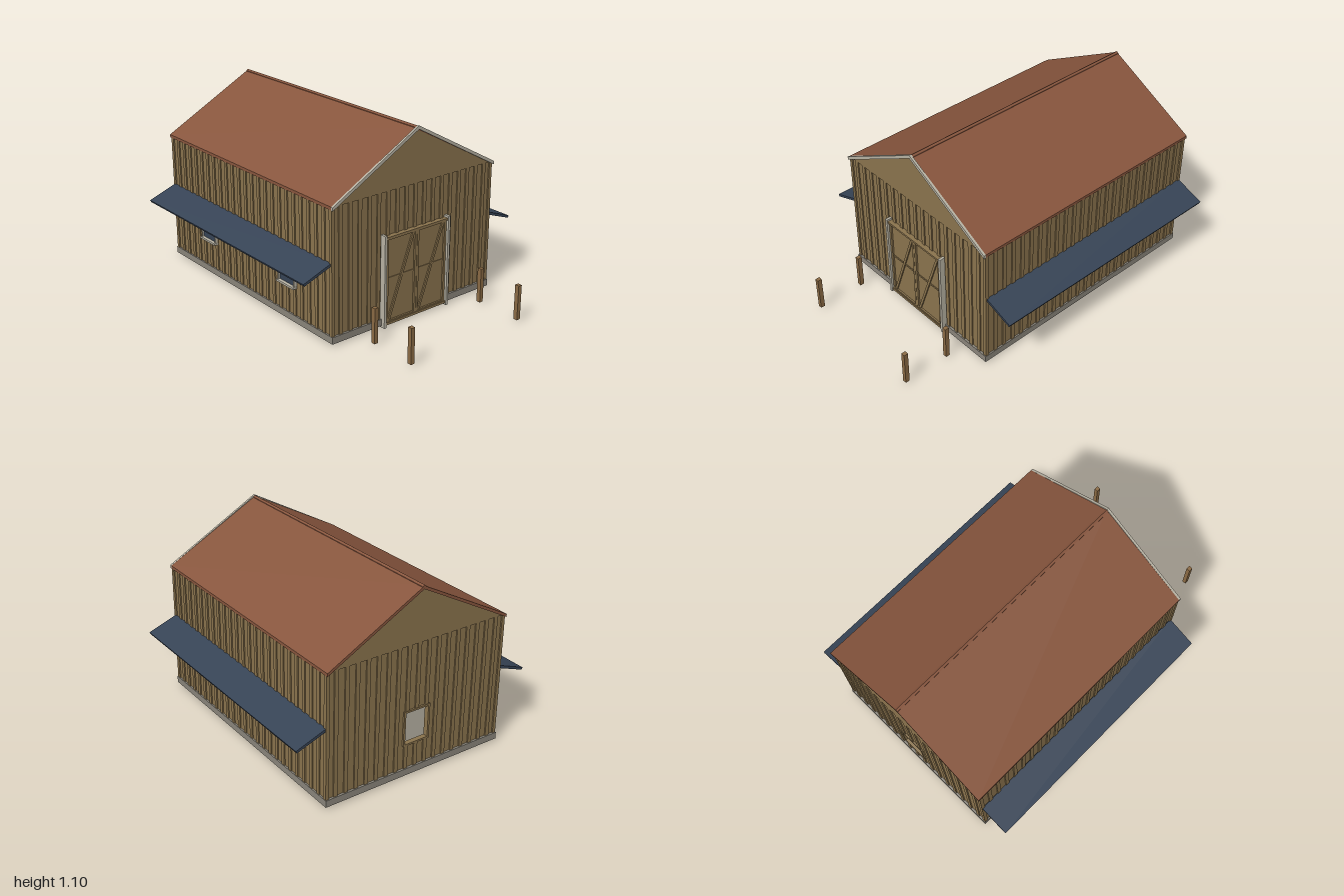
import * as THREE from 'three';

const mat = (name, color) => {
  const m = new THREE.MeshStandardMaterial({ color });
  m.name = name;
  return m;
};

export function createModel() {
  const wood = mat('wall wood', 0x8a734d);
  const postWood = mat('post wood', 0x8a6a44);
  const roofRed = mat('roof red', 0x87553d);
  const stone = mat('foundation grey', 0x89847a);
  const pale = mat('pale trim', 0xb7b2a3);
  const navy = mat('navy', 0x364355);

  const barn = new THREE.Group();
  barn.name = 'barn';
  const group = (name) => {
    const g = new THREE.Group();
    g.name = name;
    barn.add(g);
    return g;
  };
  // Box given by its limits on each axis
  const box = (parent, name, m, x0, x1, y0, y1, z0, z1) => {
    const mesh = new THREE.Mesh(new THREE.BoxGeometry(x1 - x0, y1 - y0, z1 - z0), m);
    mesh.position.set((x0 + x1) / 2, (y0 + y1) / 2, (z0 + z1) / 2);
    mesh.name = name;
    parent.add(mesh);
    return mesh;
  };
  // Outline in x and y, extruded from z0 to z1
  const slab = (parent, name, m, pts, z0, z1, hole) => {
    const shape = new THREE.Shape(pts.map((p) => new THREE.Vector2(...p)));
    if (hole) shape.holes.push(new THREE.Path(hole.map((p) => new THREE.Vector2(...p))));
    const geo = new THREE.ExtrudeGeometry(shape, { depth: z1 - z0, bevelEnabled: false });
    geo.translate(0, 0, z0);
    const mesh = new THREE.Mesh(geo, m);
    mesh.name = name;
    parent.add(mesh);
    return mesh;
  };

  const W = 0.57, F = 0.567, B = -0.982, EAVE = 0.78;

  // Foundation
  box(barn, 'foundation', stone, -0.58, 0.58, 0.01, 0.05, -0.995, 0.58);

  // Hollow walls, with a window opening at the back
  const walls = group('walls');
  const rect = (x, y0, y1) => [[-x, y0], [x, y0], [x, y1], [-x, y1]];
  slab(walls, 'frontWall', wood, rect(W, 0.05, EAVE), F - 0.02, F);
  slab(walls, 'backWall', wood, rect(W, 0.05, EAVE), B, B + 0.02, rect(0.075, 0.2, 0.39));
  for (const s of [-1, 1]) {
    const x = s * (W - 0.01);
    box(walls, 'sideWall', wood, x - 0.01, x + 0.01, 0.05, EAVE, B + 0.02, F - 0.02);
  }

  // Flat gables, flush with the battens
  const gable = [[-0.575, EAVE], [0.575, EAVE], [0, 1.078]];
  slab(walls, 'frontGable', wood, gable, F - 0.02, F + 0.007);
  slab(walls, 'backGable', wood, gable, B - 0.007, B + 0.02);

  // Battens
  const battens = group('battens');
  const pitch = 0.0645, half = 0.012, proud = 0.007;
  for (let i = -8; i <= 8; i++) {
    const x = i * pitch;
    const y0 = Math.abs(x) < 0.23 ? 0.52 : 0.05;
    box(battens, 'frontBatten', wood, x - half, x + half, y0, EAVE, F, F + proud);
    const spans = Math.abs(x) < 0.09 ? [[0.05, 0.19], [0.4, EAVE]] : [[0.05, EAVE]];
    for (const [a, b] of spans) box(battens, 'backBatten', wood, x - half, x + half, a, b, B - proud, B);
  }
  const sideCount = 24, sidePitch = (F - B) / sideCount;
  for (const s of [-1, 1]) {
    for (let i = 1; i < sideCount; i++) {
      const z = B + i * sidePitch, x = s * (W + proud / 2);
      box(battens, 'sideBatten', wood, x - proud / 2, x + proud / 2, 0.05, EAVE, z - half, z + half);
    }
    // Corner boards
    for (const z of [B + 0.003, F - 0.003]) {
      const x = s * 0.568;
      box(battens, 'cornerBoard', wood, x - 0.01, x + 0.01, 0.05, EAVE, z - 0.011, z + 0.011);
    }
  }

  // Back window surround
  const backWindow = group('backWindow');
  for (const s of [-1, 1]) {
    box(backWindow, 'jamb', wood, s * 0.08 - 0.006, s * 0.08 + 0.006, 0.19, 0.4, B - 0.01, B);
  }
  box(backWindow, 'lintel', wood, -0.074, 0.074, 0.389, 0.4, B - 0.01, B);
  box(backWindow, 'sill', wood, -0.074, 0.074, 0.19, 0.201, B - 0.01, B);

  // Roof, ridge cap and front barge boards
  const chevron = (x, eave, top, t) =>
    [[-x, eave], [-x, eave - t], [0, top - t], [x, eave - t], [x, eave], [0, top]];
  const roof = group('roof');
  slab(roof, 'roofSlopes', roofRed, chevron(0.58, 0.785, 1.096, 0.018), -1, 0.574);
  slab(roof, 'ridgeCap', roofRed, chevron(0.012, 1.093, 1.101, 0.008), -1, 0.574);
  slab(roof, 'bargeBoards', pale, chevron(0.58, 0.785, 1.104, 0.02), 0.574, 0.588);

  // Side awnings
  for (const s of [-1, 1]) {
    const pts = [[0.568, 0.456], [0.747, 0.391], [0.753, 0.404], [0.573, 0.471]].map(([x, y]) => [s * x, y]);
    slab(barn, 'awning', navy, pts, -0.985, 0.565);
  }

  // Side windows
  for (const s of [-1, 1]) {
    for (const zc of [0.185, -0.595]) {
      const win = group('sideWindow');
      const part = (name, m, x0, x1, y0, y1, z0, z1) =>
        box(win, name, m, Math.min(s * x0, s * x1), Math.max(s * x0, s * x1), y0, y1, zc + z0, zc + z1);
      part('glass', navy, 0.572, 0.58, 0.228, 0.437, -0.066, 0.066);
      part('jamb', pale, 0.57, 0.591, 0.228, 0.437, -0.075, -0.066);
      part('jamb', pale, 0.57, 0.591, 0.228, 0.437, 0.066, 0.075);
      part('lintel', pale, 0.57, 0.591, 0.437, 0.447, -0.075, 0.075);
      part('sill', pale, 0.57, 0.6, 0.216, 0.228, -0.077, 0.077);
    }
  }

  // Double front door with cross braces
  const door = group('frontDoor');
  for (const x0 of [-0.218, 0.001]) {
    const x1 = x0 + 0.217;
    box(door, 'doorPanel', wood, x0, x1, 0.02, 0.525, F, 0.582);
    for (const x of [x0, x1 - 0.014]) box(door, 'stile', wood, x, x + 0.014, 0.02, 0.525, 0.582, 0.592);
    for (const y of [0.02, 0.511]) box(door, 'rail', wood, x0 + 0.014, x1 - 0.014, y, y + 0.014, 0.582, 0.592);
    box(door, 'middleRail', wood, x0 + 0.014, x1 - 0.014, 0.278, 0.288, 0.582, 0.586);
    const a = x0 + 0.014, b = x1 - 0.014;
    slab(door, 'brace', wood, [[a, 0.034], [a + 0.016, 0.034], [b, 0.511], [b - 0.016, 0.511]], 0.582, 0.59);
  }
  for (const s of [-1, 1]) {
    box(door, 'doorPost', pale, s * 0.231 - 0.008, s * 0.231 + 0.008, 0, 0.542, F, 0.602);
  }
  box(door, 'doorHeader', wood, -0.223, 0.223, 0.518, 0.53, F, 0.597);
  box(door, 'threshold', wood, -0.223, 0.223, 0.012, 0.026, F, 0.597);

  // Free-standing yard posts
  const posts = group('yardPosts');
  for (const x of [-0.393, 0.393]) {
    for (const z of [0.703, 0.987]) {
      box(posts, 'yardPost', postWood, x - 0.012, x + 0.012, 0.01, 0.217, z - 0.013, z + 0.013);
    }
  }
  return barn;
}
